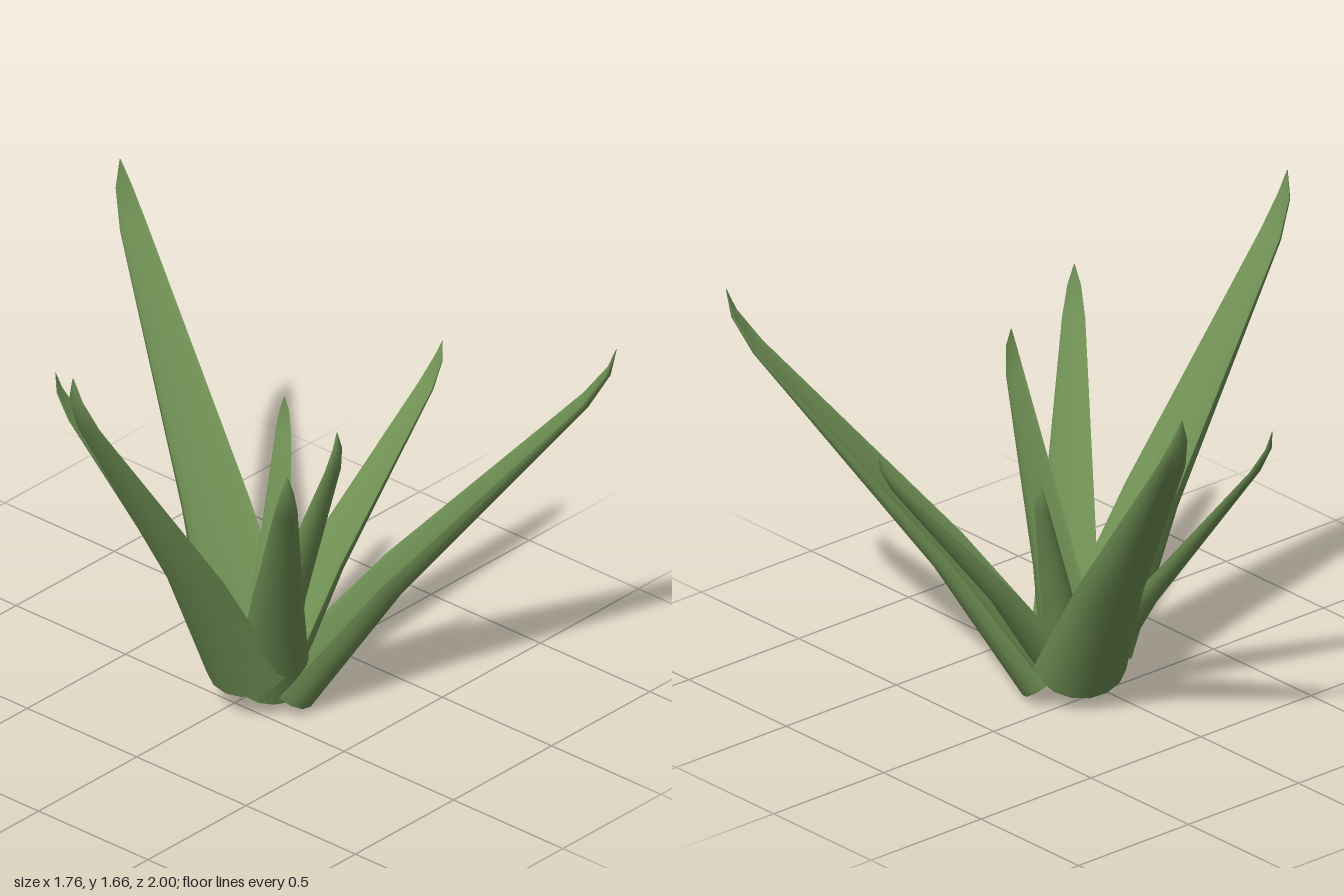
import * as THREE from 'three';

// Leaf profile per unit length: along, outward bow, half width, depth
const PROFILE = [
  [0, 0, 0.095, 0.083],
  [0.31, -0.007, 0.069, 0.055],
  [0.868, 0.026, 0.029, 0.017],
  [0.95, 0.019, 0.017, 0.01],
  [1, 0, 0.001, 0.001],
];
const SIDES = 8;
const HOLLOW = 0.12; // how far the inner face dips, as a share of the depth

// Base centre of the inner face, then the tip
const LEAVES = [
  ['leftLongLeaf', [0.02, 0.18, 0.05], [-0.88, 1.67, 0.05]],
  ['backLongLeaf', [0.11, 0.15, 0.0], [0.53, 1.53, -1.0]],
  ['frontLongLeaf', [0.13, 0.1, 0.1], [0.83, 1.42, 1.0]],
  ['frontMiddleLeaf', [0.1, 0.1, 0.08], [-0.39, 1.28, 0.59]],
  ['backMiddleLeaf', [0.07, 0.12, 0.02], [-0.2, 1.14, -0.64]],
  ['frontInnerLeaf', [0.1, 0.11, 0.04], [0.03, 1.22, 0.44]],
  ['rightMiddleLeaf', [0.13, 0.16, 0.06], [0.88, 1.11, 0.16]],
  ['rightInnerLeaf', [0.14, 0.12, 0.025], [0.42, 0.97, -0.15]],
];

// Smooth surface through rows of points
function gridGeometry(rows) {
  const cols = rows[0].length;
  const index = [];
  for (let i = 0; i < rows.length - 1; i++) {
    for (let j = 0; j < cols - 1; j++) {
      const a = i * cols + j;
      const c = a + cols;
      index.push(a, a + 1, c, a + 1, c + 1, c);
    }
  }
  const geometry = new THREE.BufferGeometry().setFromPoints(rows.flat());
  geometry.setIndex(index);
  geometry.computeVertexNormals();
  return geometry;
}

function createLeaf(name, base, tip, material) {
  const start = new THREE.Vector3(...base);
  const along = new THREE.Vector3(...tip).sub(start);
  const length = along.length();
  along.normalize();
  const side = new THREE.Vector3(0, 1, 0).cross(along).normalize().negate();
  const out = along.clone().cross(side).normalize();

  // Half-ellipse cross-section from one rim to the other
  const arc = ([t, bow, width, depth], dip) =>
    Array.from({ length: SIDES + 1 }, (_, j) => {
      const angle = (Math.PI * j) / SIDES;
      return start.clone()
        .addScaledVector(along, t * length)
        .addScaledVector(side, Math.cos(angle) * width * length)
        .addScaledVector(out, (bow + Math.sin(angle) * depth * dip) * length);
    });

  const outer = PROFILE.map((ring) => arc(ring, 1));
  const inner = PROFILE.map((ring) => arc(ring, HOLLOW));
  const surfaces = {
    Back: outer,
    Face: inner.map((row) => [...row].reverse()),
    Base: [inner[0], outer[0]],
  };

  const leaf = new THREE.Group();
  leaf.name = name;
  for (const [part, rows] of Object.entries(surfaces)) {
    const mesh = new THREE.Mesh(gridGeometry(rows), material);
    mesh.name = name + part;
    leaf.add(mesh);
  }
  return leaf;
}

export function createModel() {
  const leafGreen = new THREE.MeshStandardMaterial({ color: 0x6f9054 });
  leafGreen.name = 'leafGreen';

  const plant = new THREE.Group();
  plant.name = 'succulentPlant';
  for (const [name, base, tip] of LEAVES) {
    plant.add(createLeaf(name, base, tip, leafGreen));
  }
  return plant;
}
